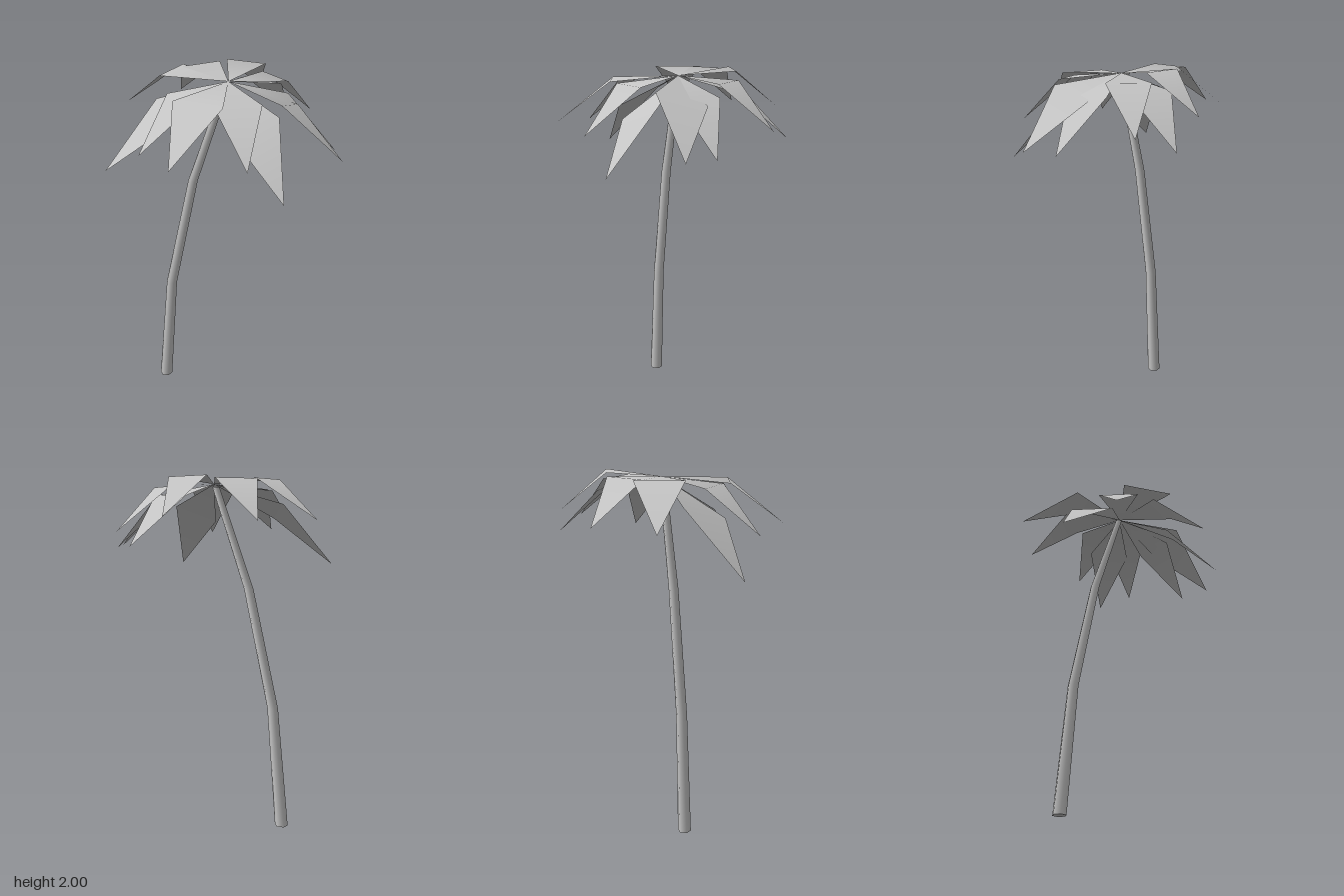
import * as THREE from 'three';

const grey = new THREE.MeshStandardMaterial({ color: 0xc4c4c4, side: THREE.DoubleSide });
grey.name = 'plain grey';

const CROWN = new THREE.Vector3(0.01, 1.965, -0.05);

// Tip position of each leaf and its roll (height shift of the side corners)
const LEAVES = [
  { tip: [0.138, 1.79, -0.59], roll: -0.005 },
  { tip: [0.32, 1.64, -0.57], roll: 0 },
  { tip: [0.45, 1.71, -0.415], roll: 0 },
  { tip: [0.59, 1.61, -0.044], roll: 0 },
  { tip: [0.627, 1.615, 0.135], roll: 0.035 },
  { tip: [0.34, 1.5, 0.455], roll: -0.045 },
  { tip: [0.162, 1.69, 0.516], roll: 0 },
  { tip: [-0.206, 1.71, 0.587], roll: 0 },
  { tip: [-0.4, 1.69, 0.357], roll: 0 },
  { tip: [-0.63, 1.52, 0.175], roll: 0.04 },
  { tip: [-0.59, 1.77, -0.263], roll: 0 },
  { tip: [-0.327, 1.77, -0.522], roll: 0 },
];

// Hexagonal trunk bent through four rings: [x, y, radius]
function makeTrunk() {
  const rings = [[0.0, 1.95, 0.02], [-0.19, 1.39, 0.027], [-0.335, 0.71, 0.031], [-0.397, 0, 0.038]];
  const geo = new THREE.CylinderGeometry(1, 1, 3, 6, 3, false, Math.PI / 2);
  const pos = geo.attributes.position;
  for (let i = 0; i < pos.count; i++) {
    const [x, y, r] = rings[Math.round(1.5 - pos.getY(i))];
    pos.setXYZ(i, x + pos.getX(i) * r, y, CROWN.z + pos.getZ(i) * r);
  }
  const mesh = new THREE.Mesh(geo, grey);
  mesh.name = 'trunk';
  return mesh;
}

// Kite-shaped leaf: root, two side corners and a drooping tip
function makeLeaf({ tip, roll }, index) {
  const dx = tip[0] - CROWN.x, dz = tip[2] - CROWN.z;
  const angle = Math.atan2(dx, -dz);
  const reach = Math.hypot(dx, dz) * 0.575;
  const cornerY = 2.0 - 0.68 * (CROWN.y - tip[1] - 0.175);
  const corner = (side) => {
    const a = angle + side * 0.365;
    return [
      CROWN.x + Math.sin(a) * reach,
      Math.min(2, cornerY + side * roll),
      CROWN.z - Math.cos(a) * reach,
    ];
  };
  const geo = new THREE.BufferGeometry();
  const points = [...CROWN.toArray(), ...corner(1), ...corner(-1), ...tip];
  geo.setAttribute('position', new THREE.Float32BufferAttribute(points, 3));
  geo.setIndex([0, 1, 2, 1, 3, 2]);
  geo.computeVertexNormals();
  const mesh = new THREE.Mesh(geo, grey);
  mesh.name = `leaf${index + 1}`;
  return mesh;
}

export function createModel() {
  const model = new THREE.Group();
  model.name = 'palmTree';
  const crown = new THREE.Group();
  crown.name = 'crown';
  LEAVES.forEach((leaf, i) => crown.add(makeLeaf(leaf, i)));
  model.add(makeTrunk(), crown);
  return model;
}
